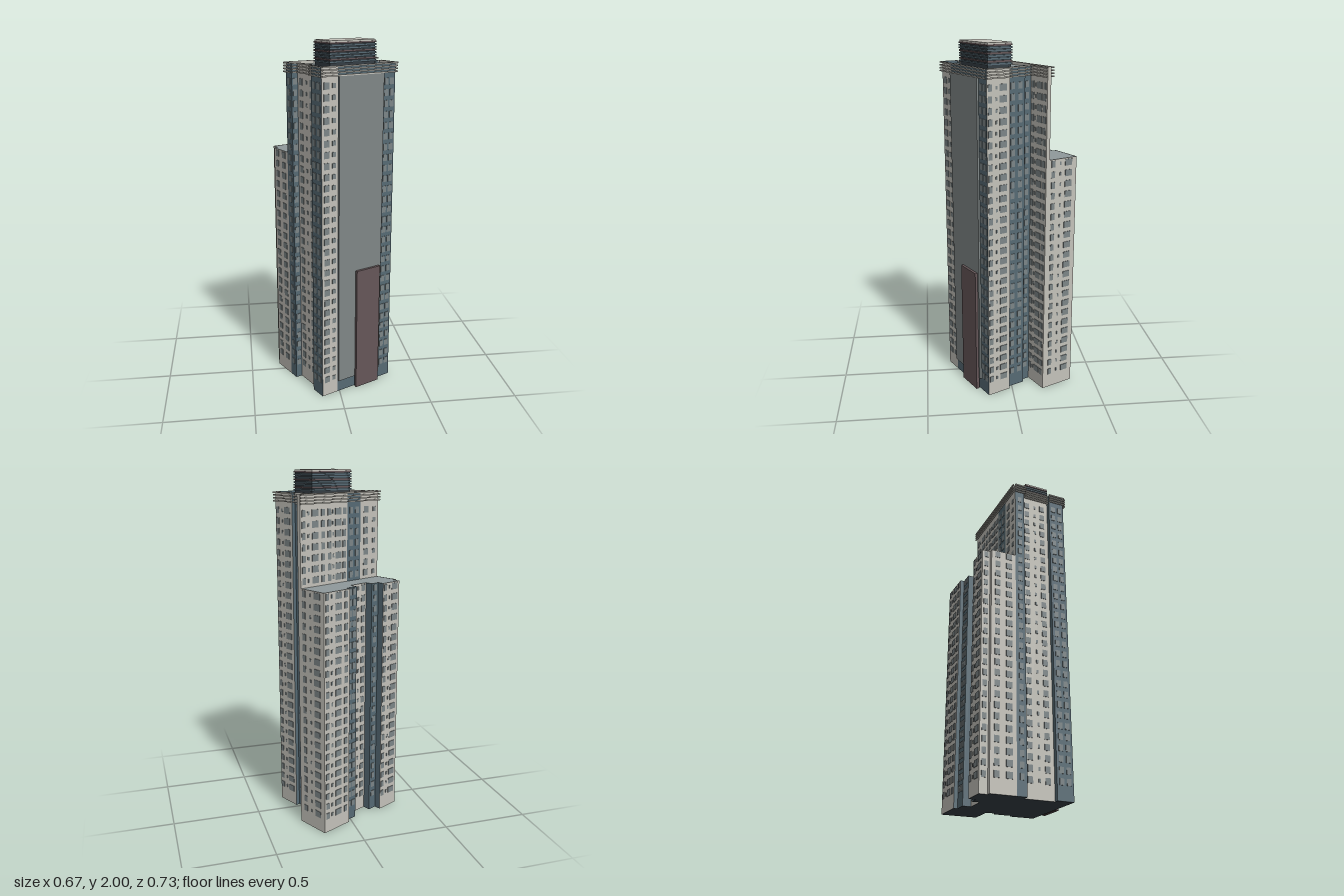
import * as THREE from 'three';
import { mergeGeometries } from 'three/addons/utils/BufferGeometryUtils.js';

const mat = (name, color) => new THREE.MeshStandardMaterial({ name, color, side: THREE.DoubleSide });
const M = {
  beige: mat('beige plaster', 0xc4c2ba),
  blue: mat('slate blue cladding', 0x566a74),
  glass: mat('window grey', 0x7c8587),
  panel: mat('grey front panel', 0x7f8686),
  brown: mat('brown slab', 0x655658),
  roof: mat('roof grey', 0x8f999b),
  dark: mat('dark base', 0x343d43),
};

const FLOOR = 0.06, FIRST = 0.07;

// Window columns along a wall: [position 0..1, width, height]
const TWO = [[0.28, 0.026, 0.036], [0.72, 0.026, 0.036]];
const ONE = [[0.5, 0.024, 0.034]];
const WIDE = [[0.13, 0.024, 0.036], [0.4, 0.01, 0.018], [0.7, 0.046, 0.036]];
const FRONT = [[0.3, 0.034, 0.036], [0.75, 0.022, 0.026]];
const BACK = [[0.12, 0.024, 0.036], [0.3, 0.012, 0.02], [0.55, 0.045, 0.036], [0.85, 0.024, 0.036]];

// Plan corners, counter-clockwise from above: [x, z, colour of the wall that starts here, windows]
const TOWER = [
  [-0.253, 0.272, 'beige', FRONT],
  [-0.15, 0.272, 'blue', []],
  [0.143, 0.272, 'blue', TWO],
  [0.226, 0.272, 'beige', WIDE],
  [0.226, 0.13, 'blue', []],
  [0.204, 0.13, 'blue', TWO],
  [0.204, 0.02, 'blue', []],
  [0.18, 0.02, 'blue', ONE],
  [0.18, -0.035, 'beige', BACK],
  [0.331, -0.035, 'beige', []],
  [0.331, -0.058, 'beige', BACK, 1.38],
  [0.14, -0.058, 'beige', BACK, 1.38],
  [-0.016, -0.058, 'blue', TWO, 1.38],
  [-0.12, -0.058, 'beige', FRONT, 1.38],
  [-0.264, -0.058, 'blue', ONE],
  [-0.264, 0, 'blue', ONE],
  [-0.226, 0, 'beige', [[0.2, 0.03, 0.036], [0.5, 0.012, 0.02], [0.78, 0.03, 0.036]]],
  [-0.226, 0.175, 'blue', []],
  [-0.253, 0.175, 'blue', TWO],
];
const WING = [
  [-0.264, -0.058, null, []],
  [0.331, -0.058, 'beige', WIDE],
  [0.331, -0.24, 'beige', BACK],
  [0.141, -0.24, 'blue', []],
  [0.141, -0.218, 'blue', TWO],
  [0.066, -0.218, 'blue', []],
  [0.066, -0.17, 'beige', [[0.2, 0.026, 0.036], [0.5, 0.012, 0.02], [0.8, 0.026, 0.036]]],
  [-0.055, -0.17, 'blue', []],
  [-0.055, -0.215, 'blue', ONE],
  [-0.107, -0.215, 'blue', []],
  [-0.107, -0.254, 'beige', WIDE],
  [-0.241, -0.254, 'beige', ONE],
  [-0.241, -0.207, 'beige', []],
  [-0.264, -0.207, 'beige', [[0.25, 0.03, 0.036], [0.72, 0.036, 0.036]]],
];

function add(group, name, geometry, material) {
  const mesh = new THREE.Mesh(geometry, material);
  mesh.name = name;
  group.add(mesh);
  return mesh;
}

// Box given by its lower and upper corners
function block(group, name, [x0, y0, z0], [x1, y1, z1], material) {
  const g = new THREE.BoxGeometry(x1 - x0, y1 - y0, z1 - z0);
  add(group, name, g.translate((x0 + x1) / 2, (y0 + y1) / 2, (z0 + z1) / 2), material);
}

// Calls fn for each wall, with a tool that moves a geometry from wall space to its place
function eachWall(plan, fn) {
  plan.forEach((p, i) => {
    const q = plan[(i + 1) % plan.length];
    const dx = q[0] - p[0], dz = q[1] - p[1];
    const place = (g) => g.rotateY(Math.atan2(-dz, dx)).translate((p[0] + q[0]) / 2, 0, (p[1] + q[1]) / 2);
    fn(p, Math.hypot(dx, dz), place);
  });
}

function cap(group, name, plan, y, material) {
  const shape = new THREE.Shape(plan.map(([x, z]) => new THREE.Vector2(x, -z)));
  add(group, name, new THREE.ShapeGeometry(shape).rotateX(-Math.PI / 2).translate(0, y, 0), material);
}

function building(name, plan, height, roofY, floors) {
  const group = new THREE.Group();
  group.name = name;
  const walls = { beige: [], blue: [] }, windows = [];
  eachWall(plan, ([, , colour, columns, y0 = 0], length, place) => {
    if (!colour) return;
    walls[colour].push(place(new THREE.PlaneGeometry(length, height - y0).translate(0, (height + y0) / 2, 0)));
    for (const [t, w, h] of columns) {
      for (let i = 0; i < floors; i++) {
        const y = FIRST + i * FLOOR + 0.03;
        if (y - h / 2 < y0) continue;
        windows.push(place(new THREE.BoxGeometry(w, h, 0.004).translate((t - 0.5) * length, y, 0.001)));
      }
    }
  });
  add(group, 'beigeWalls', mergeGeometries(walls.beige), M.beige);
  add(group, 'blueWalls', mergeGeometries(walls.blue), M.blue);
  add(group, 'windows', mergeGeometries(windows), M.glass);
  cap(group, 'roof', plan, roofY, M.roof);
  cap(group, 'underside', plan, 0, M.dark);
  return group;
}

export function createModel() {
  const model = new THREE.Group();
  model.name = 'apartmentTower';
  const plan = new THREE.Group();
  plan.name = 'building';
  plan.rotation.y = 0.462;
  model.add(plan);

  const tower = building('tower', TOWER, 1.88, 1.865, 29);
  const wing = building('lowerWing', WING, 1.385, 1.384, 22);
  plan.add(tower, wing);

  // Stacked rails around the top of the tower
  const rails = [];
  eachWall(TOWER, (p, length, place) => {
    if (length < 0.035) return;
    for (let i = 0; i < 4; i++) {
      rails.push(place(new THREE.BoxGeometry(length + 0.008, 0.007, 0.008).translate(0, 1.83 + i * 0.0155, 0.012)));
    }
  });
  add(tower, 'roofRails', mergeGeometries(rails), M.beige);
  block(tower, 'backParapet', [-0.264, 1.86, -0.058], [0.331, 1.882, -0.046], M.beige);

  // Tall front panel and the brown slab before it
  block(tower, 'frontPanel', [-0.148, 0.07, 0.27], [0.143, 1.83, 0.283], M.panel);
  block(tower, 'entranceSlab', [-0.034, 0, 0.28], [0.127, 0.735, 0.298], M.brown);

  // Louvred plant room on the roof
  const plant = new THREE.Group();
  plant.name = 'plantRoom';
  tower.add(plant);
  block(plant, 'core', [-0.157, 1.86, 0.066], [0.134, 1.99, 0.209], M.dark);
  for (let i = 0; i < 8; i++) {
    const y = 1.885 + i * 0.014;
    block(plant, 'louvre', [-0.163, y, 0.06], [0.14, y + 0.008, 0.215], i % 3 === 1 ? M.brown : M.blue);
  }
  block(plant, 'plantRoof', [-0.159, 1.988, 0.064], [0.136, 2, 0.211], M.beige);
  return model;
}
